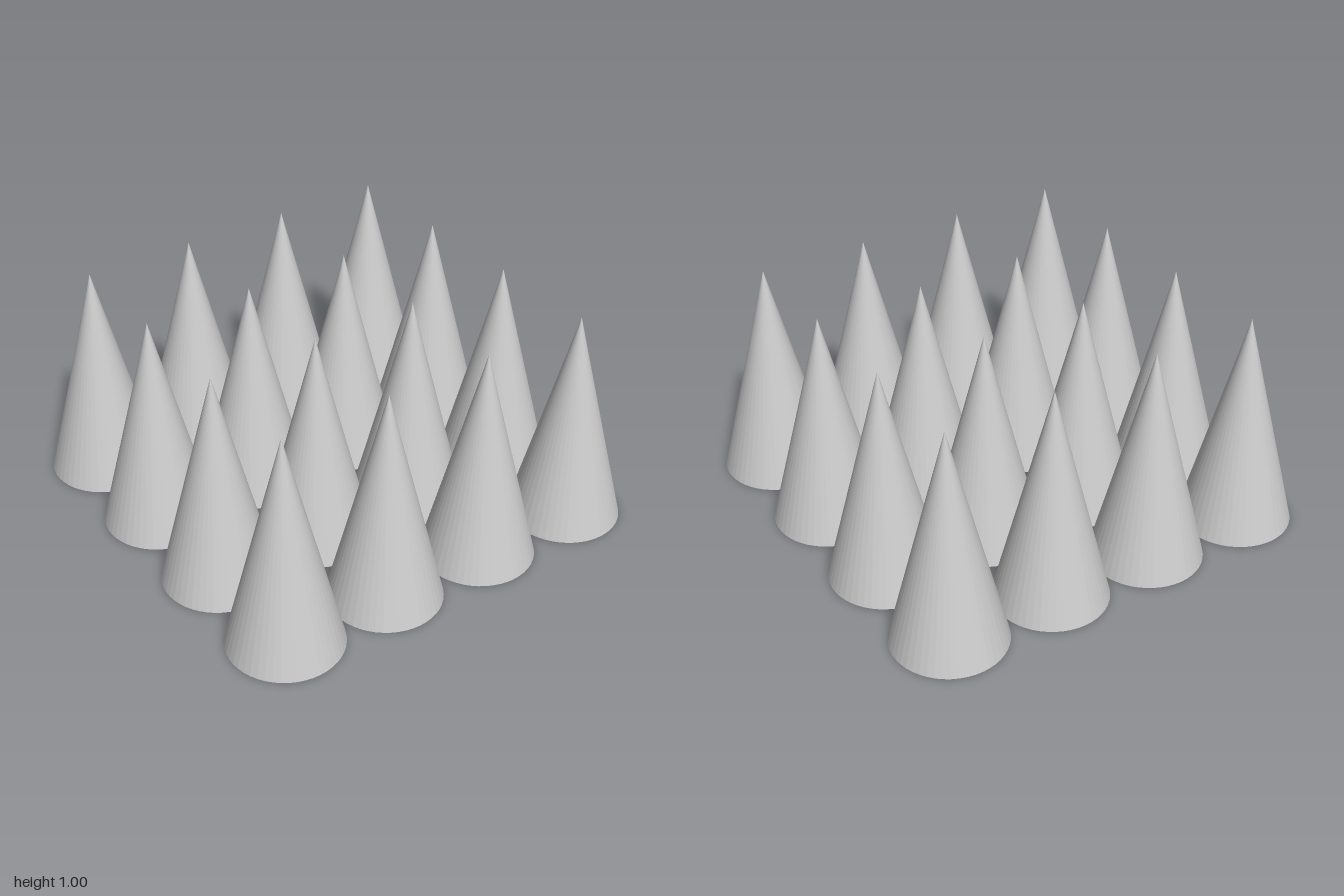
import * as THREE from 'three';

export function createModel() {
  const group = new THREE.Group();
  group.name = 'coneGrid';

  const count = 4, radius = 0.25, height = 1;
  const material = new THREE.MeshStandardMaterial({ color: 0xcccccc, flatShading: true });

  // One faceted cone with a closed base, standing on y = 0
  const coneGeometry = new THREE.ConeGeometry(radius, height, 48);
  coneGeometry.translate(0, height / 2, 0);

  // Square grid of cones whose bases just touch
  const offset = (i) => (i - (count - 1) / 2) * radius * 2;
  for (let row = 0; row < count; row++) {
    for (let column = 0; column < count; column++) {
      const cone = new THREE.Mesh(coneGeometry, material);
      cone.name = `cone_row${row + 1}_column${column + 1}`;
      cone.position.set(offset(column), 0, offset(row));
      group.add(cone);
    }
  }
  return group;
}
